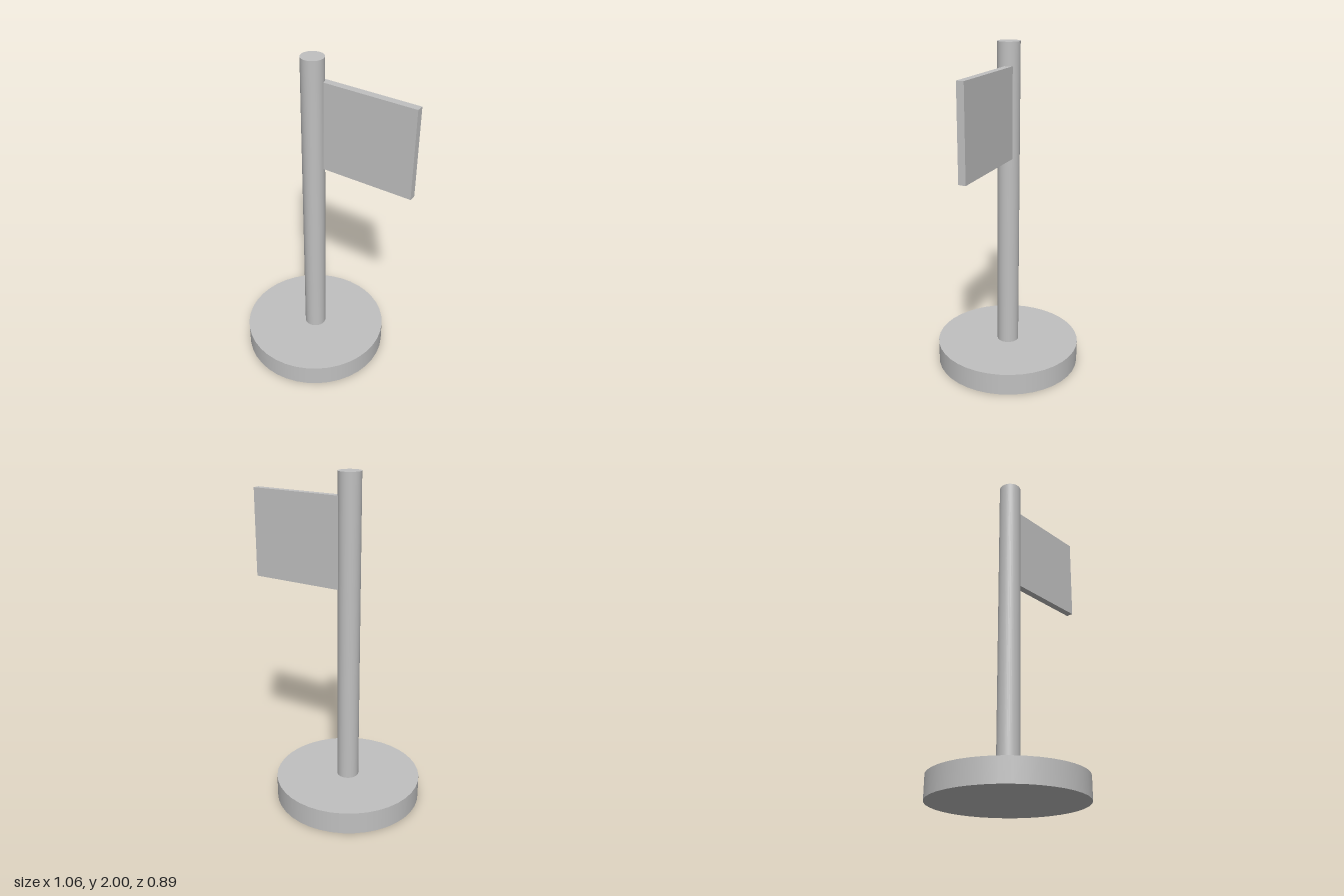
import * as THREE from 'three';

export function createModel() {
  const group = new THREE.Group();
  const grey = new THREE.MeshStandardMaterial({ color: 0xc0c0c0 });
  grey.name = 'light grey';

  const poleX = -0.09;
  const add = (name, geometry, x, y, z) => {
    const mesh = new THREE.Mesh(geometry, grey);
    mesh.name = name;
    mesh.position.set(x, y, z);
    group.add(mesh);
  };
  // Upright cylinder between two heights
  const cylinder = (name, radius, bottom, top) =>
    add(name, new THREE.CylinderGeometry(radius, radius, top - bottom, 40), poleX, (bottom + top) / 2, 0);

  // Round foot and the pole standing on it
  cylinder('base', 0.443, 0, 0.135);
  cylinder('pole', 0.066, 0.135, 2);

  // Flag board, set into the rear half of the pole
  const flagLeft = poleX, flagRight = 0.53;
  add('flag', new THREE.BoxGeometry(flagRight - flagLeft, 0.53, 0.043),
    (flagLeft + flagRight) / 2, 1.603, -0.0245);

  return group;
}
